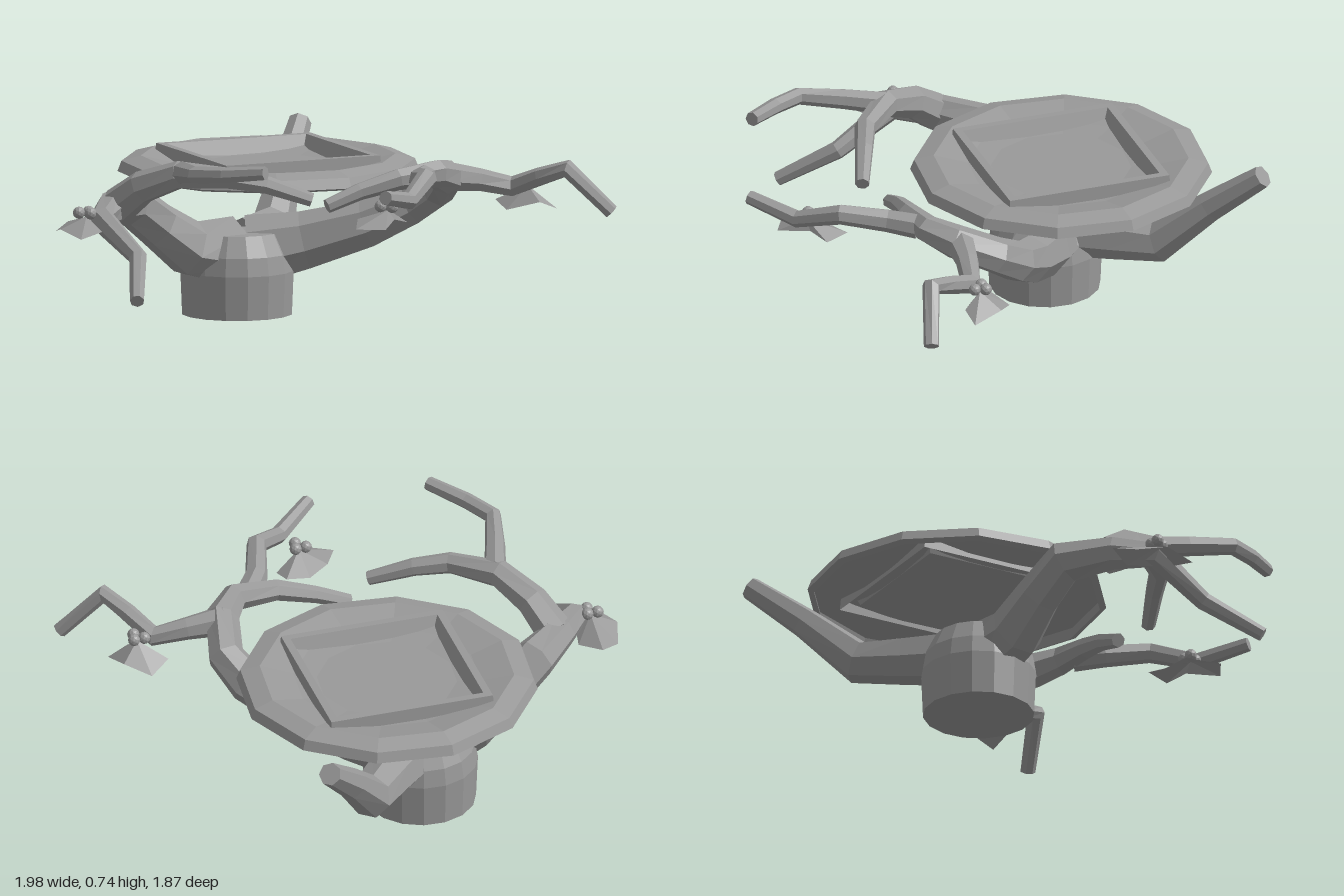
import * as THREE from 'three';

const stone = new THREE.MeshStandardMaterial({ color: 0x999999, side: THREE.DoubleSide });
stone.name = 'plain grey';

// Facet a geometry and wrap it in a named mesh
function part(name, geometry, parent) {
  const g = geometry.index ? geometry.toNonIndexed() : geometry;
  g.computeVertexNormals();
  const mesh = new THREE.Mesh(g, stone);
  mesh.name = name;
  parent.add(mesh);
  return mesh;
}

function lathe(profile, sides, phi = 0) {
  return new THREE.LatheGeometry(profile.map(p => new THREE.Vector2(...p)), sides, phi);
}

// Tapered, capped limb through points [x, y, z, radius]
function limb(path, sides = 7) {
  const pts = path.map(p => new THREE.Vector3(p[0], p[1], p[2]));
  const pos = [], idx = [], n = pts.length;
  let normal = new THREE.Vector3(0, 1, 0);
  pts.forEach((p, i) => {
    const before = p.clone().sub(pts[Math.max(i - 1, 0)]).normalize();
    const after = pts[Math.min(i + 1, n - 1)].clone().sub(p).normalize();
    const t = before.add(after).normalize();
    normal = normal.clone().addScaledVector(t, -normal.dot(t)).normalize();
    const side = t.clone().cross(normal);
    for (let j = 0; j < sides; j++) {
      const a = j / sides * Math.PI * 2;
      const v = p.clone()
        .addScaledVector(normal, Math.cos(a) * path[i][3])
        .addScaledVector(side, Math.sin(a) * path[i][3]);
      pos.push(v.x, v.y, v.z);
      if (i < n - 1) {
        const q = i * sides + j, r = i * sides + (j + 1) % sides;
        idx.push(q, r, q + sides, r, r + sides, q + sides);
      }
    }
  });
  const end = (n - 1) * sides;
  for (let j = 1; j < sides - 1; j++) {
    idx.push(0, j + 1, j, end, end + j, end + j + 1);
  }
  const g = new THREE.BufferGeometry();
  g.setAttribute('position', new THREE.Float32BufferAttribute(pos, 3));
  g.setIndex(idx);
  return g;
}

// Drooping leaf fan around a centre; outline points are [x, z]
function leafFan(center, outline, droop) {
  const pos = [];
  const rim = (p, i) => [p[0], center[1] - droop * (i % 2 ? 0.65 : 1), p[1]];
  outline.forEach((p, i) => {
    const k = (i + 1) % outline.length;
    pos.push(...center, ...rim(outline[k], k), ...rim(p, i));
  });
  const g = new THREE.BufferGeometry();
  g.setAttribute('position', new THREE.Float32BufferAttribute(pos, 3));
  return g;
}

export function createModel() {
  const model = new THREE.Group();
  model.name = 'branchingStand';

  // Trunk stump
  part('trunk', lathe([[0, 0], [0.215, 0], [0.222, 0.17], [0.21, 0.24], [0.17, 0.32], [0, 0.33]], 16), model)
    .position.set(-0.055, 0, -0.315);

  // Main limbs and their twigs
  const limbs = {
    backLimb: [[0, 0.25, -0.36, 0.11], [0.17, 0.26, -0.5, 0.095], [0.31, 0.27, -0.62, 0.085],
      [0.46, 0.45, -0.76, 0.06], [0.62, 0.615, -0.9, 0.045]],
    rightLimb: [[-0.1, 0.24, -0.31, 0.14], [-0.28, 0.27, -0.31, 0.11], [-0.42, 0.37, -0.31, 0.09],
      [-0.56, 0.47, -0.29, 0.085], [-0.72, 0.48, -0.18, 0.065], [-0.84, 0.46, -0.07, 0.05],
      [-0.83, 0.34, 0.17, 0.036], [-0.96, 0.205, 0.36, 0.028]],
    rightInnerTwig: [[-0.7, 0.48, -0.18, 0.075], [-0.66, 0.57, -0.06, 0.065], [-0.59, 0.63, 0.09, 0.055],
      [-0.46, 0.625, 0.25, 0.042], [-0.34, 0.6, 0.32, 0.036], [-0.19, 0.54, 0.41, 0.028]],
    rightOuterTwig: [[-0.58, 0.64, 0.1, 0.045], [-0.65, 0.66, 0.24, 0.04], [-0.72, 0.68, 0.4, 0.034],
      [-0.67, 0.69, 0.53, 0.032], [-0.58, 0.71, 0.68, 0.028]],
    leftLimb: [[0, 0.24, -0.3, 0.14], [0.17, 0.28, -0.18, 0.115], [0.35, 0.35, -0.02, 0.095],
      [0.48, 0.43, 0.1, 0.08], [0.52, 0.5, 0.21, 0.072], [0.46, 0.57, 0.36, 0.068],
      [0.37, 0.6, 0.43, 0.055], [0.2, 0.59, 0.42, 0.042], [0.05, 0.55, 0.38, 0.034], [-0.08, 0.5, 0.35, 0.028]],
    leftOuterTwig: [[0.46, 0.57, 0.34, 0.06], [0.6, 0.55, 0.38, 0.045], [0.72, 0.52, 0.43, 0.04],
      [0.77, 0.57, 0.55, 0.036], [0.82, 0.61, 0.66, 0.036], [0.97, 0.44, 0.74, 0.03]],
    leftFrontTwig: [[0.31, 0.59, 0.44, 0.05], [0.23, 0.6, 0.53, 0.045], [0.15, 0.63, 0.69, 0.04],
      [0, 0.57, 0.8, 0.034], [-0.18, 0.61, 0.91, 0.028]],
  };
  for (const [name, path] of Object.entries(limbs)) part(name, limb(path), model);

  // Leaf clusters with berries
  const clusters = [
    { at: [-0.89, 0.47, -0.1], droop: 0.07, outline: [[-0.98, 0], [-0.99, -0.13], [-0.94, -0.24],
      [-0.85, -0.29], [-0.8, -0.18], [-0.86, -0.01]] },
    { at: [-0.05, 0.53, 0.73], droop: 0.06, outline: [[-0.21, 0.75], [-0.13, 0.64], [-0.04, 0.61],
      [0.06, 0.61], [0.06, 0.7], [-0.02, 0.73], [-0.12, 0.82]] },
    { at: [0.79, 0.52, 0.43], droop: 0.09, outline: [[0.7, 0.42], [0.7, 0.34], [0.79, 0.3],
      [0.87, 0.38], [0.88, 0.5], [0.8, 0.5]] },
  ];
  const berry = new THREE.IcosahedronGeometry(0.024, 1);
  for (const { at, droop, outline } of clusters) {
    const cluster = new THREE.Group();
    cluster.name = 'leafCluster';
    part('leaves', leafFan(at, outline, droop), cluster);
    for (const [dx, dz] of [[-0.022, -0.018], [0.02, -0.015], [0.004, 0.024]]) {
      part('berry', berry.clone(), cluster).position.set(at[0] + dx, at[1] + 0.015, at[2] + dz);
    }
    model.add(cluster);
  }

  // Twelve-sided dish with a square tray set into it
  const top = new THREE.Group();
  top.name = 'tableTop';
  top.position.set(0.085, 0, -0.31);
  part('dish', lathe([[0.555, 0.535], [0.58, 0.545], [0.565, 0.585], [0.49, 0.605],
    [0.36, 0.575], [0.18, 0.555], [0, 0.555]], 12), top);
  const tray = [[0.33, 0.555], [0.325, 0.625], [0.295, 0.625], [0.272, 0.565], [0, 0.565]]
    .map(([r, y]) => [r * Math.SQRT2, y]);
  part('squareTray', lathe(tray, 4, Math.PI / 4), top).rotation.y = -0.155;
  model.add(top);

  return model;
}
